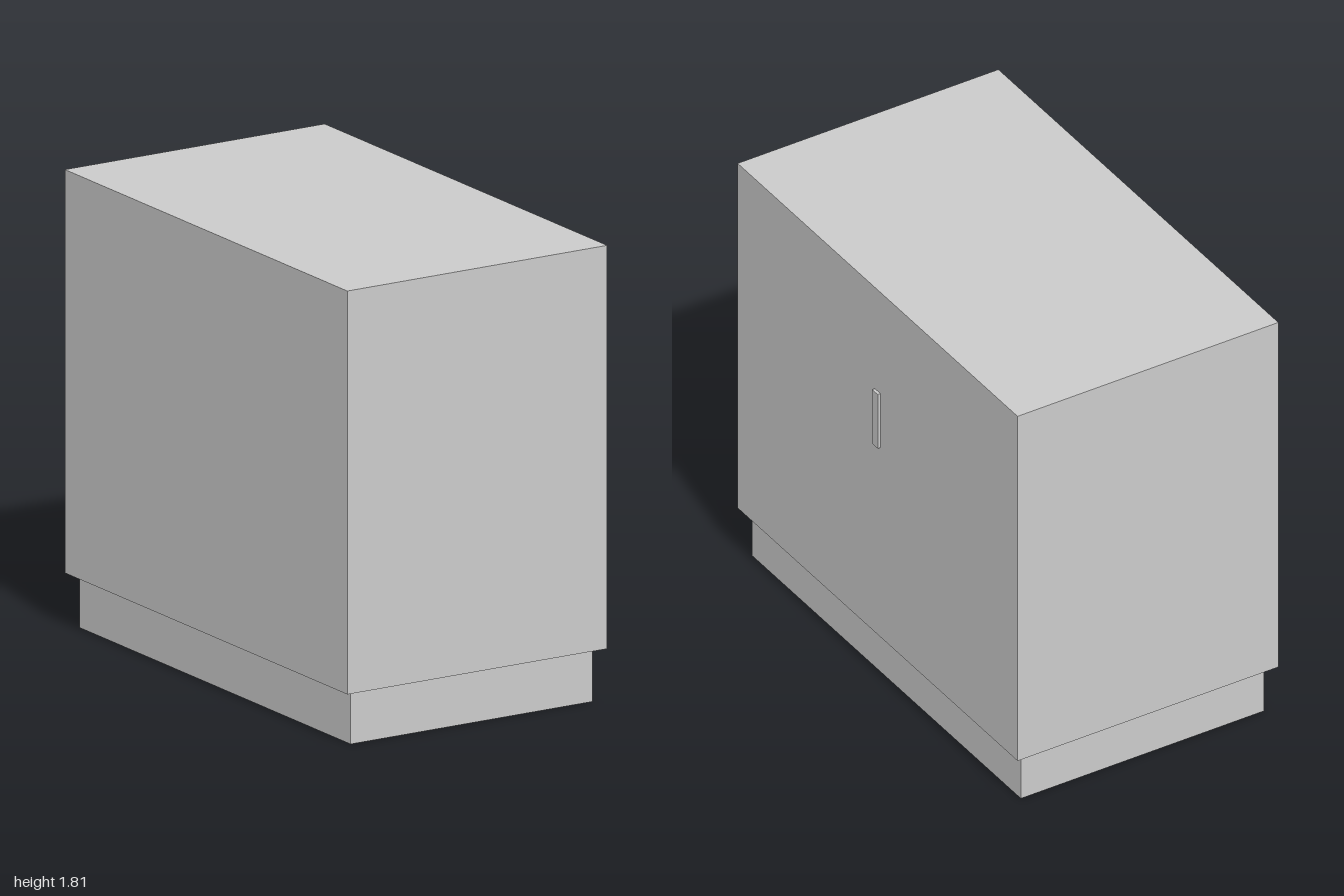
import * as THREE from 'three';

const material = new THREE.MeshStandardMaterial({ color: 0xcccccc });

// Box given by its minimum and maximum corners
function block(name, min, max) {
  const size = max.map((v, i) => v - min[i]);
  const mesh = new THREE.Mesh(new THREE.BoxGeometry(...size), material);
  mesh.name = name;
  mesh.position.set(...max.map((v, i) => (v + min[i]) / 2));
  return mesh;
}

export function createModel() {
  const group = new THREE.Group();
  group.name = 'cabinet';
  group.add(
    // Recessed base
    block('plinth', [-0.554, 0, -0.96], [0.542, 0.213, 0.96]),
    // Main box
    block('cabinetBody', [-0.594, 0.213, -1], [0.582, 1.813, 1]),
    // Slim upright pull on the left side
    block('handle', [0.582, 1.092, -0.02], [0.594, 1.343, 0.02]),
  );
  return group;
}
